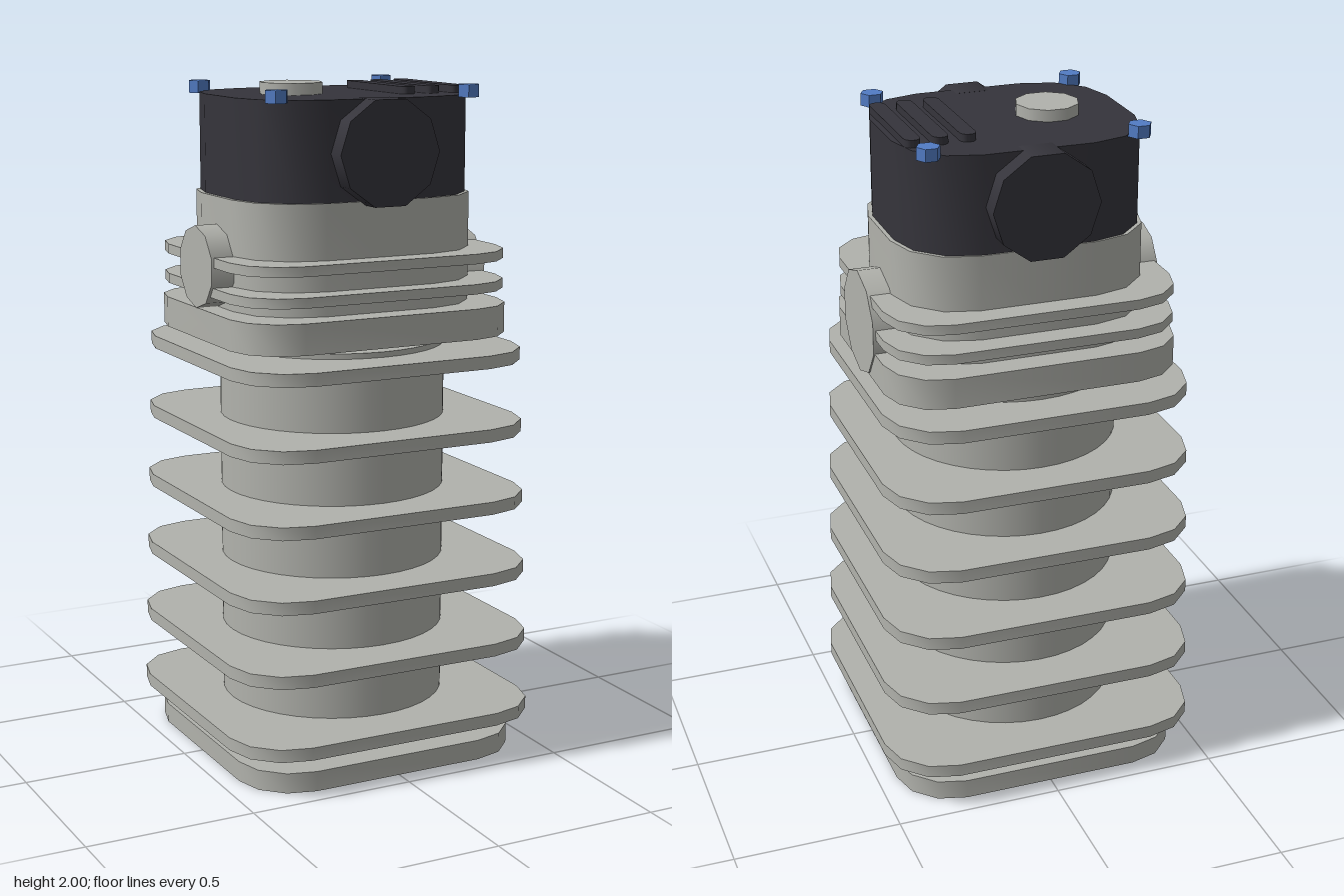
import * as THREE from 'three';
import { toCreasedNormals } from 'three/addons/utils/BufferGeometryUtils.js';

const material = (name, color) => {
  const m = new THREE.MeshStandardMaterial({ color });
  m.name = name;
  return m;
};

export function createModel() {
  const group = new THREE.Group();
  const metal = material('cast metal', 0xb1b2ac);
  const dark = material('dark cover', 0x35343b);
  const blue = material('blue bolt', 0x527cc4);

  const add = (name, geometry, mat, x = 0, y = 0, z = 0) => {
    const mesh = new THREE.Mesh(geometry, mat);
    mesh.name = name;
    mesh.position.set(x, y, z);
    group.add(mesh);
    return mesh;
  };

  // Upright slab with rounded corners, given half sizes and corner radius
  const slab = (name, mat, hx, hz, r, y0, y1, x = 0, segments = 3) => {
    const points = [];
    [[1, 1], [-1, 1], [-1, -1], [1, -1]].forEach(([sx, sz], corner) => {
      for (let i = 0; i <= segments; i++) {
        const a = (corner + i / segments) * Math.PI / 2;
        points.push(new THREE.Vector2(sx * (hx - r) + r * Math.cos(a), sz * (hz - r) + r * Math.sin(a)));
      }
    });
    const geometry = new THREE.ExtrudeGeometry(new THREE.Shape(points), { depth: y1 - y0, bevelEnabled: false });
    geometry.rotateX(-Math.PI / 2);
    return add(name, toCreasedNormals(geometry, 0.62), mat, x, y0, 0);
  };

  // Ten-sided disc with a corner pointing along x
  const disc = (r, h) => new THREE.CylinderGeometry(r, r, h, 10, 1, false, Math.PI / 2);

  // Barrel, foot and tapering cooling fins
  add('barrel', new THREE.CylinderGeometry(0.336, 0.336, 1.25, 40), metal, 0, 0.625, 0);
  slab('foot', metal, 0.44, 0.44, 0.17, 0, 0.06);
  for (let i = 0; i < 6; i++) {
    const half = 0.485 - i * 0.0055;
    const y = 0.135 + i * 0.216;
    slab('barrelFin', metal, half, half, 0.18, y - 0.019, y + 0.019);
  }

  // Cylinder head with its fins
  slab('headBase', metal, 0.436, 0.387, 0.16, 1.27, 1.36);
  slab('headBody', metal, 0.372, 0.309, 0.2, 1.36, 1.68);
  for (const y of [1.402, 1.49]) slab('headFin', metal, 0.432, 0.382, 0.16, y, y + 0.029);

  // Side ports
  const leftPort = add('leftPort', disc(0.155, 0.15), metal, 0.365, 1.405, 0);
  leftPort.rotation.z = -Math.PI / 2;
  const rightPort = add('rightPort', disc(0.12, 0.15), metal, -0.365, 1.48, 0);
  rightPort.rotation.z = Math.PI / 2;

  // Dark cover with round end caps
  slab('cover', dark, 0.36, 0.305, 0.2, 1.68, 1.966);
  for (const s of [1, -1]) {
    const cap = add(s > 0 ? 'frontCap' : 'backCap', disc(0.157, 0.1), dark, 0, 1.817, s * 0.315);
    cap.rotation.x = s * Math.PI / 2;
  }

  // Top plug, ribs and corner bolts
  add('topPlug', disc(0.0925, 0.04), metal, -0.133, 1.98, 0);
  for (const x of [0.16, 0.24, 0.32]) slab('coverRib', dark, 0.0235, 0.186, 0.0234, 1.96, 1.988, x, 4);
  for (const x of [-0.306, 0.306]) {
    for (const z of [-0.267, 0.267]) {
      const hex = new THREE.CylinderGeometry(0.034, 0.034, 0.036, 6, 1, false, Math.PI / 2);
      add('coverBolt', toCreasedNormals(hex, 0.5), blue, x, 1.977, z);
    }
  }
  return group;
}
